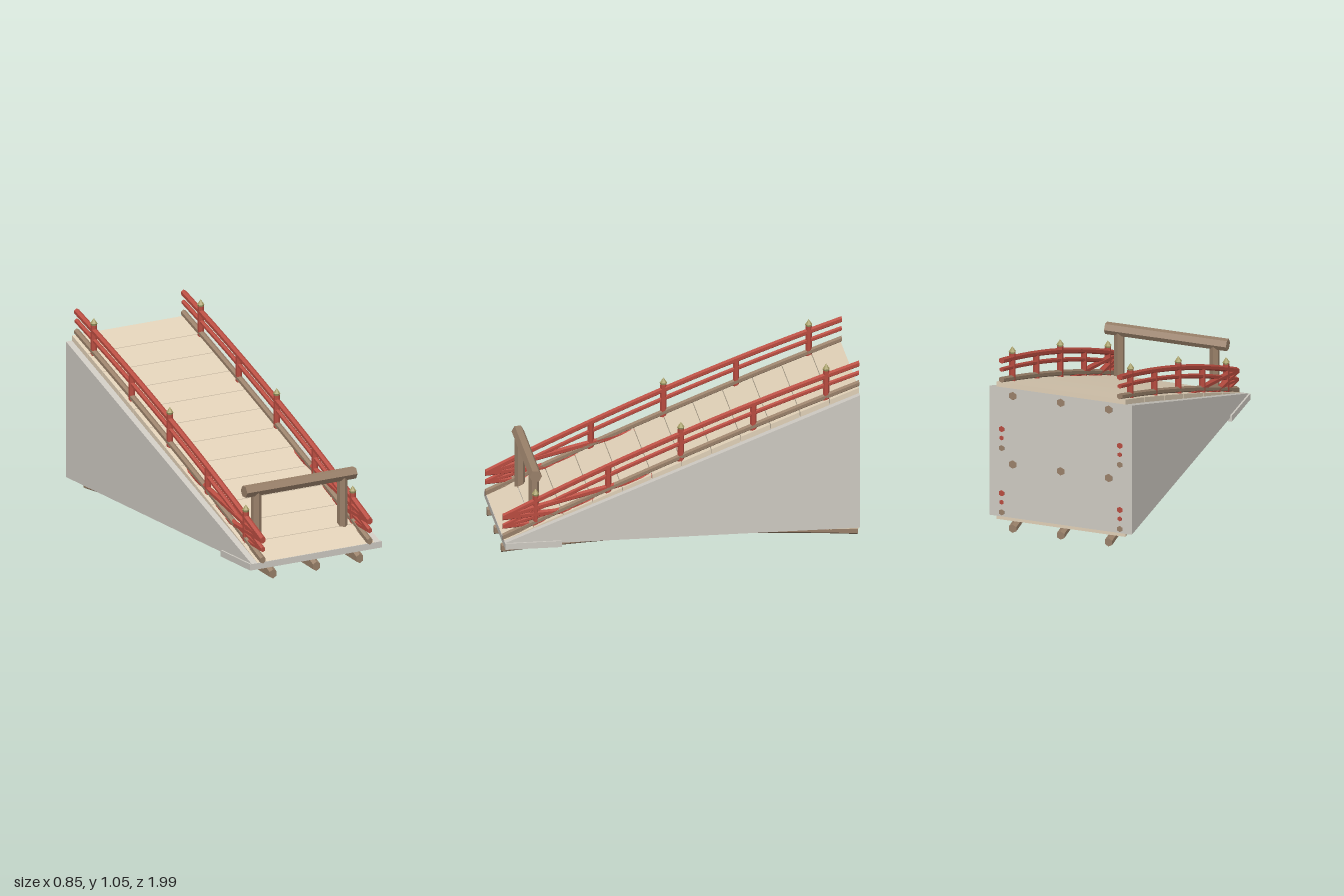
import * as THREE from 'three';

const mat = (name, color, side = THREE.FrontSide) => new THREE.MeshStandardMaterial({ name, color, side });

export function createModel() {
  const tan = mat('plankTan', 0xe0d0b7);
  const brown = mat('timberBrown', 0x998069);
  const red = mat('railRed', 0xb84c40);
  const olive = mat('capOlive', 0xa8a068);
  const grey = mat('stoneGrey', 0xcdc9c1, THREE.DoubleSide);

  const model = new THREE.Group();
  model.name = 'bridgeRamp';

  const add = (parent, name, geometry, material) => {
    const flat = geometry.index ? geometry.toNonIndexed() : geometry;
    flat.computeVertexNormals();
    const mesh = new THREE.Mesh(flat, material);
    mesh.name = name;
    parent.add(mesh);
    return mesh;
  };

  // Arch heights: the beams and rails bow more than the deck
  const BEAM = 0.045, DECK = 0.013, KERB = 0.02, RAIL = 0.038;

  // Height added along the span: a straight climb plus a shallow arch
  const lift = (z, rise, arch) => rise * (1 - z) / 2 + arch * (1 - z * z);
  const bend = (geometry, rise, arch) => {
    const p = geometry.attributes.position;
    for (let i = 0; i < p.count; i++) p.setY(i, p.getY(i) + lift(p.getZ(i), rise, arch));
    return geometry;
  };

  // Six-sided pole running the full span
  const pole = (x, y, radius, rise, arch) =>
    bend(new THREE.CylinderGeometry(radius, radius, 1.986, 6, 12).rotateX(Math.PI / 2).translate(x, y, 0), rise, arch);

  // One bridge: beams, planks, kerbs, rails and posts, climbing by rise
  const bridge = (name, rise, capped) => {
    const g = new THREE.Group();
    g.name = name;
    model.add(g);

    for (const x of [-0.28, 0, 0.28]) add(g, 'beam', pole(x, 0.025, 0.025, rise, BEAM), brown);

    const pitch = 1.98 / 12;
    for (let i = 0; i < 12; i++) {
      const z = -0.99 + (i + 0.5) * pitch;
      add(g, 'plank', bend(new THREE.BoxGeometry(0.754, 0.03, pitch - 0.004).translate(0, 0.085, z), rise, DECK), tan);
    }

    for (const x of [-0.345, 0.345]) {
      add(g, 'kerb', pole(x, 0.115, 0.018, rise, KERB), brown);
      add(g, 'lowerRail', pole(x, 0.176, 0.014, rise, RAIL), red);
      add(g, 'handRail', pole(x, 0.23, 0.018, rise, RAIL), red);

      [0.81, 0.405, 0, -0.405, -0.81].forEach((z, i) => {
        const tall = i % 2 === 0 && capped;
        const bottom = lift(z, rise, DECK) + 0.062;
        const top = lift(z, rise, RAIL) + (tall ? 0.26 : 0.236);
        const post = new THREE.CylinderGeometry(0.018, 0.018, top - bottom, 6);
        add(g, 'railPost', post.translate(x, (top + bottom) / 2, z), red);
        if (tall) {
          // Pointed finial
          const profile = [[0.012, 0], [0.0205, 0.02], [0, 0.05]].map(([r, y]) => new THREE.Vector2(r, y));
          add(g, 'postCap', new THREE.LatheGeometry(profile, 6).translate(x, top - 0.009, z), olive);
        }
      });
    }
  };

  bridge('steepBridge', 0.806, true);
  bridge('middleBridge', 0.39, false);
  bridge('levelBridge', 0, false);

  // Hollow wedge with an open underside
  const wedge = new THREE.BoxGeometry(0.83, 1, 1.98);
  const p = wedge.attributes.position;
  for (let i = 0; i < p.count; i++) {
    p.setY(i, p.getY(i) < 0 ? 0.09 : p.getZ(i) > 0 ? 0.104 : 0.872);
  }
  const faces = Array.from(wedge.index.array);
  wedge.setIndex([...faces.slice(0, 18), ...faces.slice(24)]);
  add(model, 'rampBody', wedge, grey);

  // Threshold slab at the foot of the ramp
  add(model, 'footSlab', new THREE.BoxGeometry(0.85, 0.036, 0.315).translate(0, 0.086, 0.832), grey);

  // Gate across the foot: two posts and a crossbar
  const gate = new THREE.Group();
  gate.name = 'gate';
  model.add(gate);
  for (const x of [-0.278, 0.278]) {
    add(gate, 'gatePost', new THREE.CylinderGeometry(0.029, 0.029, 0.35, 6).translate(x, 0.285, 0.81), brown);
  }
  add(gate, 'gateBar',
    new THREE.CylinderGeometry(0.035, 0.035, 0.712, 6).rotateZ(Math.PI / 2).translate(0, 0.465, 0.81), brown);

  return model;
}
